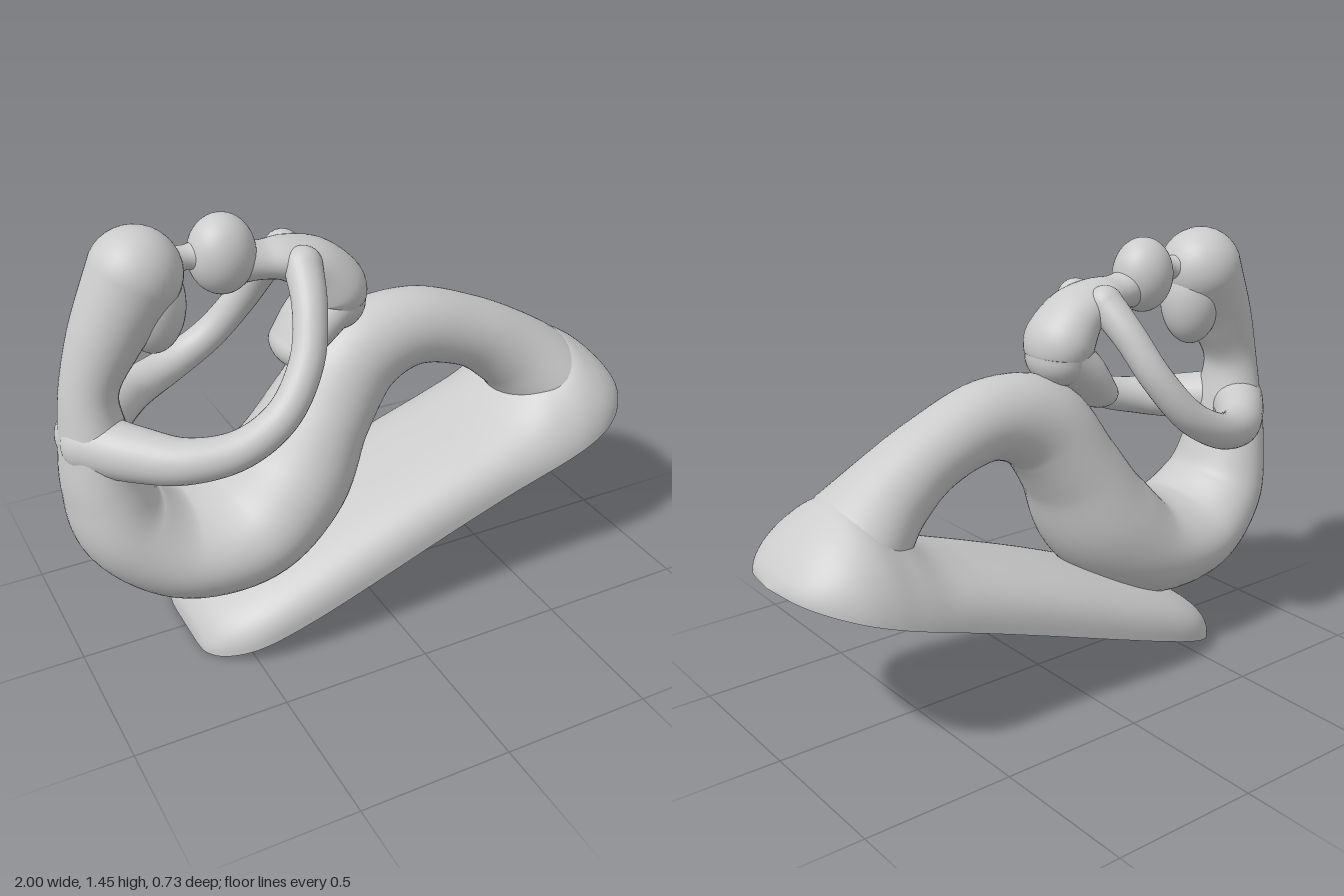
import * as THREE from 'three';

const material = new THREE.MeshStandardMaterial({ color: 0xcccccc });
const ground = (x) => (x + 0.645) * 0.352; // sloping underside of the base

// Catmull-Rom interpolation through rows of numbers, t in 0..1
function spline(rows, t) {
  const n = rows.length - 1;
  const i = Math.min(Math.floor(t * n), n - 1);
  const f = t * n - i;
  const [a, b, c, d] = [rows[Math.max(i - 1, 0)], rows[i], rows[i + 1], rows[Math.min(i + 2, n)]];
  return b.map((_, k) => b[k] + 0.5 * f * (c[k] - a[k] + f * (2 * a[k] - 5 * b[k] + 4 * c[k] - d[k]
    + f * (3 * (b[k] - c[k]) + d[k] - a[k]))));
}

// Surface through a list of equally long rings
function skin(name, rings, closed) {
  const m = rings[0].length;
  const index = [];
  for (let i = 0; i < rings.length - 1; i++) {
    for (let j = 0; j < (closed ? m : m - 1); j++) {
      const k = (j + 1) % m;
      const a = i * m + j, b = i * m + k, c = a + m, d = b + m;
      index.push(a, b, c, b, d, c);
    }
  }
  const geometry = new THREE.BufferGeometry();
  geometry.setAttribute('position', new THREE.Float32BufferAttribute(
    rings.flat().flatMap((p) => [p.x, p.y, p.z]), 3));
  geometry.setIndex(index);
  geometry.computeVertexNormals();
  const mesh = new THREE.Mesh(geometry, material);
  mesh.name = name;
  return mesh;
}

// Round-ended limb; rows are [x, y, z, half thickness, half width]
function limb(name, rows, steps = 48, sides = 36, rule = null) {
  const rings = [];
  const zAxis = new THREE.Vector3(0, 0, 1);
  function ring(t, slide, scale) {
    const s = spline(rows, t);
    const p0 = spline(rows, Math.max(t - 0.005, 0));
    const p1 = spline(rows, Math.min(t + 0.005, 1));
    const T = new THREE.Vector3(p1[0] - p0[0], p1[1] - p0[1], p1[2] - p0[2]).normalize();
    const L = zAxis.clone().addScaledVector(T, -T.z).normalize();
    const N = L.clone().cross(T);
    const centre = new THREE.Vector3(s[0], s[1], s[2]).addScaledVector(T, slide * s[3]);
    rings.push(Array.from({ length: sides }, (_, j) => {
      const a = (j / sides) * Math.PI * 2;
      const p = centre.clone().addScaledVector(N, Math.cos(a) * s[3] * scale)
        .addScaledVector(L, Math.sin(a) * s[4] * scale);
      if (rule) rule(p);
      return p;
    }));
  }
  const caps = 9;
  for (let i = 0; i < caps; i++) {
    const a = (1 - i / caps) * Math.PI / 2;
    ring(0, -Math.sin(a), Math.cos(a));
  }
  for (let i = 0; i <= steps; i++) ring(i / steps, 0, 1);
  for (let i = 1; i <= caps; i++) {
    const a = (i / caps) * Math.PI / 2;
    ring(1, Math.sin(a), Math.cos(a));
  }
  return skin(name, rings, true);
}

function ellipsoid(name, [x, y, z], [rx, ry, rz], tilt = 0) {
  const mesh = new THREE.Mesh(new THREE.SphereGeometry(1, 40, 28), material);
  mesh.name = name;
  mesh.position.set(x, y, z);
  mesh.scale.set(rx, ry, rz);
  mesh.rotation.z = tilt;
  return mesh;
}

// Sloping plinth: rows are [x, height, half width, roundness]
function createBase() {
  const rows = [
    [-0.645, 0, 0.1, 2.8], [-0.635, 0.06, 0.17, 2.8], [-0.585, 0.115, 0.24, 2.8],
    [-0.48, 0.145, 0.295, 2.8], [-0.3, 0.165, 0.315, 2.8], [-0.05, 0.18, 0.315, 2.8],
    [0.2, 0.185, 0.31, 2.8], [0.42, 0.19, 0.31, 2.6], [0.54, 0.215, 0.315, 2.2],
    [0.65, 0.28, 0.32, 1.85], [0.75, 0.31, 0.315, 1.8], [0.84, 0.24, 0.29, 1.9],
    [0.92, 0.145, 0.23, 2], [0.975, 0.06, 0.14, 2], [1, 0, 0, 2],
  ];
  const top = [], bottom = [];
  const steps = 84, n = 44;
  for (let i = 0; i <= steps; i++) {
    const [x, h, w, p] = spline(rows, i / steps);
    const upper = [], lower = [];
    for (let j = 0; j <= n; j++) {
      const a = (j / n) * Math.PI;
      const c = Math.cos(a);
      const z = -Math.sign(c) * Math.abs(c) ** (2 / p) * w;
      const y = Math.max(h, 0) * Math.abs(Math.sin(a)) ** (2 / p);
      upper.push(new THREE.Vector3(x, ground(x) + y, z));
      lower.push(new THREE.Vector3(x, ground(x), -z));
    }
    top.push(upper);
    bottom.push(lower);
  }
  const base = new THREE.Group();
  base.name = 'base';
  base.add(skin('baseTop', top, false), skin('baseUnderside', bottom, false));
  return base;
}

export function createModel() {
  const model = new THREE.Group();
  model.name = 'seatedFigures';
  model.add(createBase());

  // One continuous sweep: hood, back, hips, thigh, knee and shin
  model.add(limb('motherBody', [
    [-0.715, 1.31, 0, 0.142, 0.142],
    [-0.82, 1.13, 0, 0.112, 0.115],
    [-0.885, 0.97, 0, 0.088, 0.1],
    [-0.885, 0.8, 0, 0.108, 0.135],
    [-0.87, 0.64, 0, 0.13, 0.17],
    [-0.815, 0.48, 0, 0.155, 0.21],
    [-0.65, 0.36, 0, 0.165, 0.25],
    [-0.42, 0.37, 0, 0.185, 0.265],
    [-0.25, 0.51, 0, 0.195, 0.245],
    [-0.13, 0.71, 0, 0.165, 0.195],
    [0, 0.88, 0, 0.16, 0.155],
    [0.2, 0.935, 0, 0.133, 0.13],
    [0.42, 0.87, 0, 0.12, 0.13],
    [0.58, 0.77, 0, 0.135, 0.155],
    [0.7, 0.665, 0, 0.155, 0.21],
    [0.79, 0.59, 0, 0.125, 0.24],
  ], 110, 48, (p) => {
    if (p.x > -0.5) p.y = Math.max(p.y, ground(p.x) + 0.01);
  }));

  // Mother's bowed face, touching the child's forehead
  model.add(ellipsoid('motherFace', [-0.67, 1.205, 0], [0.1, 0.155, 0.105], -0.05));
  model.add(limb('foreheadTouch', [
    [-0.64, 1.32, 0, 0.07, 0.07], [-0.56, 1.33, 0, 0.037, 0.037], [-0.48, 1.325, 0, 0.07, 0.07],
  ], 20, 24));

  // Child
  model.add(ellipsoid('childHead', [-0.445, 1.32, 0], [0.105, 0.125, 0.1]));
  model.add(limb('childBody', [
    [-0.4, 1.285, 0, 0.07, 0.065],
    [-0.32, 1.275, 0, 0.058, 0.075],
    [-0.24, 1.265, 0, 0.068, 0.1],
    [-0.15, 1.225, 0, 0.088, 0.115],
    [-0.09, 1.15, 0, 0.108, 0.13],
    [-0.08, 1.1, 0, 0.1, 0.12],
  ], 44));
  model.add(limb('childLegs', [
    [-0.08, 1.11, 0, 0.085, 0.12], [-0.16, 1.04, 0, 0.08, 0.125], [-0.225, 0.965, 0, 0.062, 0.12],
  ], 24));

  // Encircling arms, from the mother's shoulders to the child's
  for (const side of [1, -1]) {
    const arm = [
      [-0.9, 0.81, 0.03, 0.095], [-0.8, 0.8, 0.14, 0.085], [-0.68, 0.8, 0.245, 0.07],
      [-0.53, 0.83, 0.3, 0.06], [-0.39, 0.91, 0.298, 0.055], [-0.29, 1.04, 0.25, 0.053],
      [-0.24, 1.17, 0.17, 0.054], [-0.215, 1.265, 0.075, 0.06],
    ].map(([x, y, z, r]) => [x, y, z * side, r, r]);
    model.add(limb(side > 0 ? 'frontArm' : 'backArm', arm, 64, 28));
  }
  return model;
}
